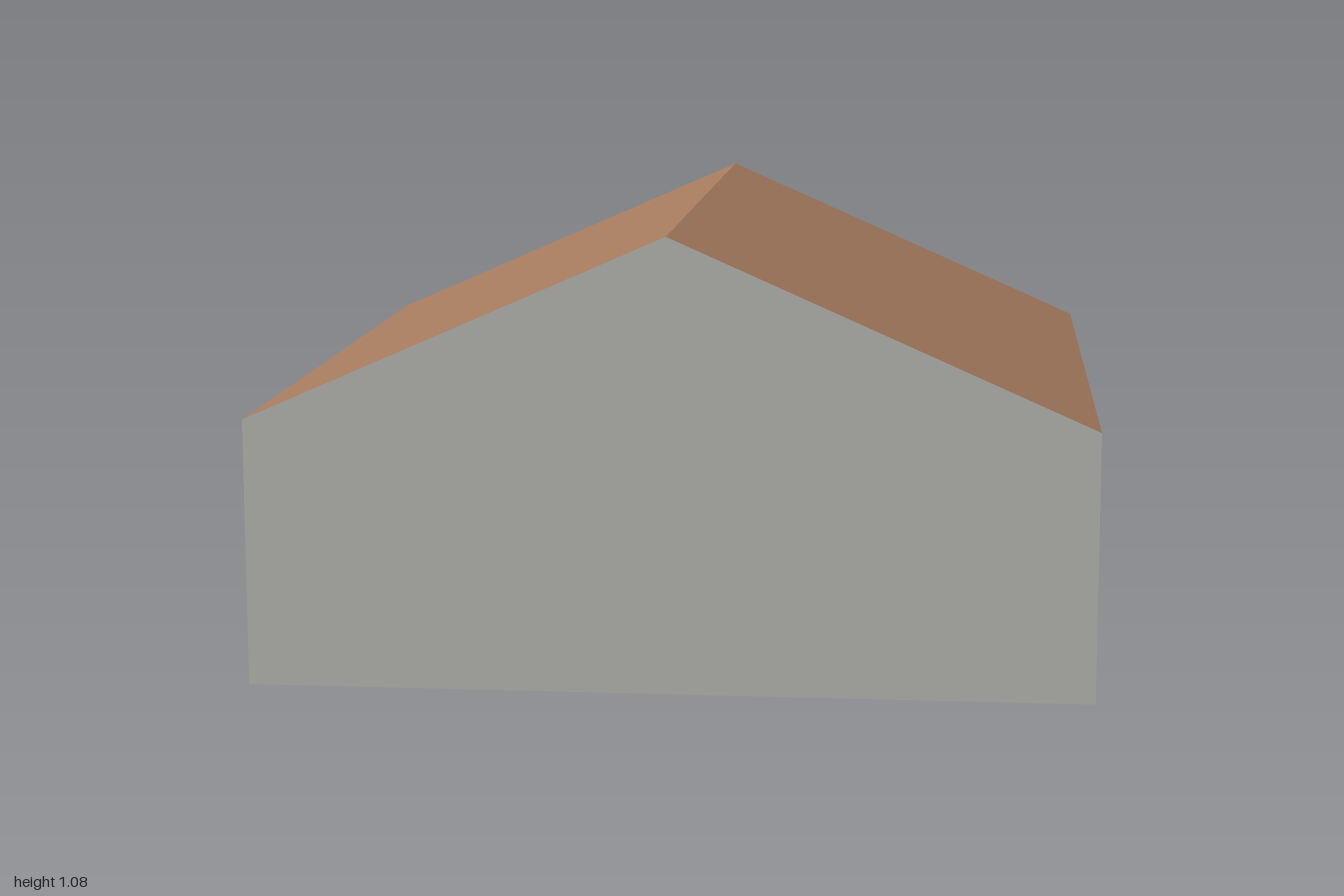
import * as THREE from 'three';

const HALF = 1, EAVE = 0.64, RIDGE = 1.08;

export function createModel() {
  const model = new THREE.Group();
  model.name = 'house';

  const wallGrey = new THREE.MeshStandardMaterial({ color: 0xb8b8b4, side: THREE.DoubleSide });
  wallGrey.name = 'wall grey';
  const roofBrown = new THREE.MeshStandardMaterial({ color: 0xa57b5e, side: THREE.DoubleSide });
  roofBrown.name = 'roof brown';

  const add = (name, geometry, material) => {
    const mesh = new THREE.Mesh(geometry, material);
    mesh.name = name;
    model.add(mesh);
    return mesh;
  };

  // Gable end outline
  const gable = new THREE.Shape([
    new THREE.Vector2(-HALF, 0),
    new THREE.Vector2(HALF, 0),
    new THREE.Vector2(HALF, EAVE),
    new THREE.Vector2(0, RIDGE),
    new THREE.Vector2(-HALF, EAVE),
  ]);
  const slopeLength = Math.hypot(HALF, RIDGE - EAVE);
  const pitch = Math.atan2(RIDGE - EAVE, HALF);

  for (const s of [1, -1]) {
    // Front and back gable walls
    const end = add(s > 0 ? 'frontGable' : 'backGable', new THREE.ShapeGeometry(gable), wallGrey);
    end.position.z = s * HALF;
    if (s < 0) end.rotation.y = Math.PI;

    // Side walls; the underside stays open
    const side = add(s > 0 ? 'leftWall' : 'rightWall', new THREE.PlaneGeometry(2 * HALF, EAVE), wallGrey);
    side.position.set(s * HALF, EAVE / 2, 0);
    side.rotation.y = s * Math.PI / 2;

    // Roof slopes, flush with the walls
    const slope = new THREE.PlaneGeometry(slopeLength, 2 * HALF).rotateX(-Math.PI / 2).rotateZ(-s * pitch);
    add(s > 0 ? 'leftRoof' : 'rightRoof', slope, roofBrown)
      .position.set(s * HALF / 2, (EAVE + RIDGE) / 2, 0);
  }
  return model;
}
